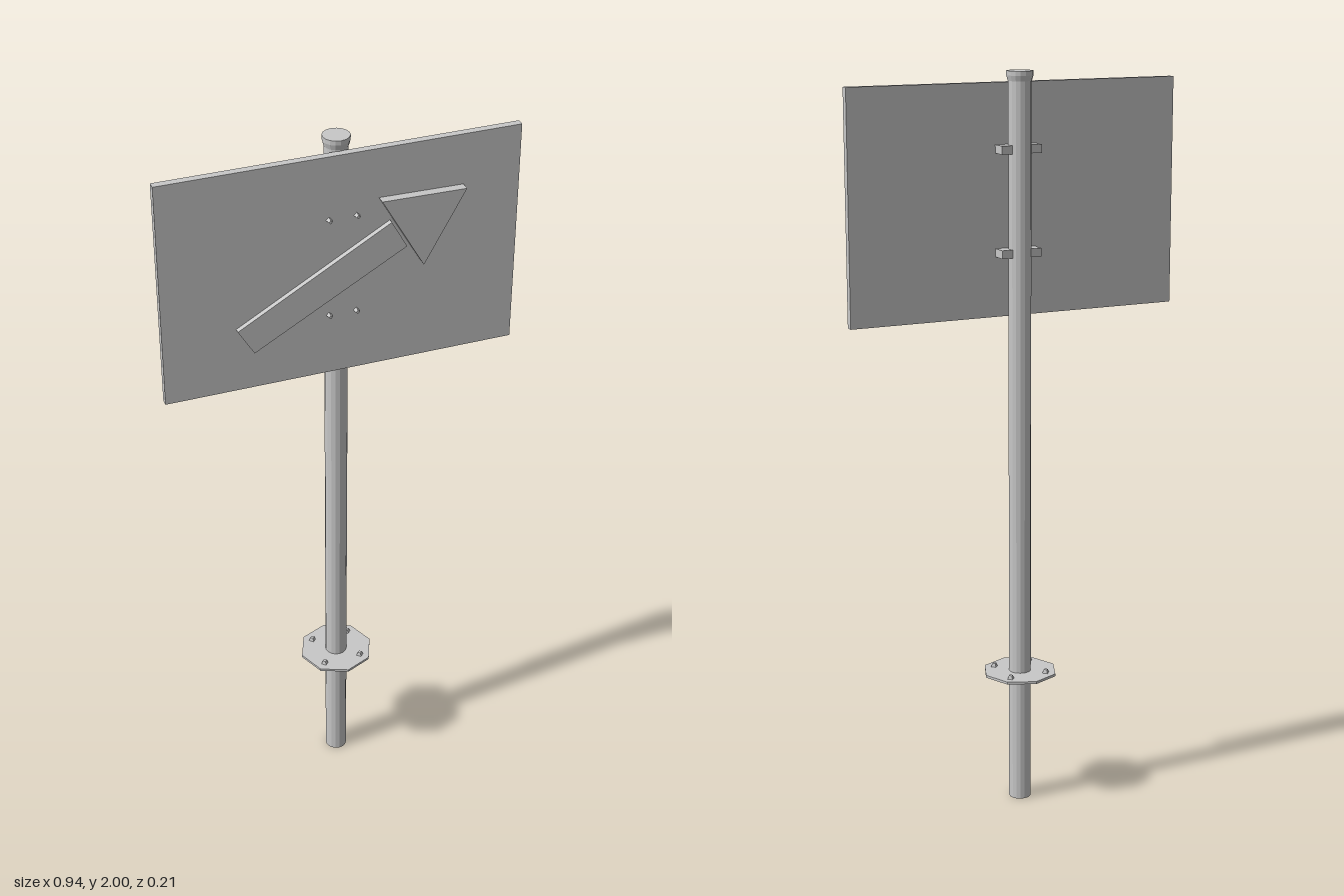
import * as THREE from 'three';

export function createModel() {
  const model = new THREE.Group();
  const grey = new THREE.MeshStandardMaterial({ color: 0xc8c8c8, flatShading: true });
  grey.name = 'paintedGrey';
  const greyOpen = new THREE.MeshStandardMaterial({ color: 0xc8c8c8, flatShading: true, side: THREE.DoubleSide });
  greyOpen.name = 'paintedGreyOpen';

  const add = (name, geometry, x, y, z, material = grey) => {
    const mesh = new THREE.Mesh(geometry, material);
    mesh.name = name;
    mesh.position.set(x, y, z);
    model.add(mesh);
    return mesh;
  };
  // Flat plate cut from an outline of x, y points
  const plate = (name, points, z, depth) => {
    const shape = new THREE.Shape(points.map(([x, y]) => new THREE.Vector2(x, y)));
    return add(name, new THREE.ExtrudeGeometry(shape, { depth, bevelEnabled: false }), 0, 0, z);
  };

  // Hollow pole with a flared cap
  add('pole', new THREE.CylinderGeometry(0.03, 0.03, 1.985, 16, 1, true), 0, 0.9925, 0, greyOpen);
  const capProfile = [[0, 2], [0.035, 2], [0.035, 1.988], [0.031, 1.974], [0.029, 1.974]]
    .reverse().map(([r, y]) => new THREE.Vector2(r, y));
  add('poleCap', new THREE.LatheGeometry(capProfile, 16), 0, 0, 0, greyOpen);

  // Octagonal ground flange and its four bolts
  add('groundFlange', new THREE.CylinderGeometry(0.103, 0.103, 0.007, 8), 0, 0.3685, 0);
  for (const x of [-0.053, 0.053]) {
    for (const z of [-0.053, 0.053]) {
      add('flangeBolt', new THREE.CylinderGeometry(0.006, 0.01, 0.01, 4), x, 0.377, z);
    }
  }

  // Sign panel
  add('signPanel', new THREE.BoxGeometry(0.936, 0.61, 0.02), -0.002, 1.665, 0.038);

  // Clamps behind the panel, with bolt heads on its face
  for (const y of [1.53, 1.8]) {
    add('clamp', new THREE.BoxGeometry(0.114, 0.022, 0.042), 0, y, 0.008);
    for (const x of [-0.036, 0.036]) {
      const bolt = add('signBolt', new THREE.CylinderGeometry(0.005, 0.008, 0.014, 4), x, y, 0.054);
      bolt.rotation.x = Math.PI / 2;
    }
  }

  // Raised arrow
  plate('arrowShaft', [[-0.28, 1.54], [-0.238, 1.469], [0.165, 1.695], [0.123, 1.77]], 0.047, 0.015);
  plate('arrowHead', [[0.093, 1.837], [0.207, 1.639], [0.316, 1.833]], 0.047, 0.025);

  return model;
}
